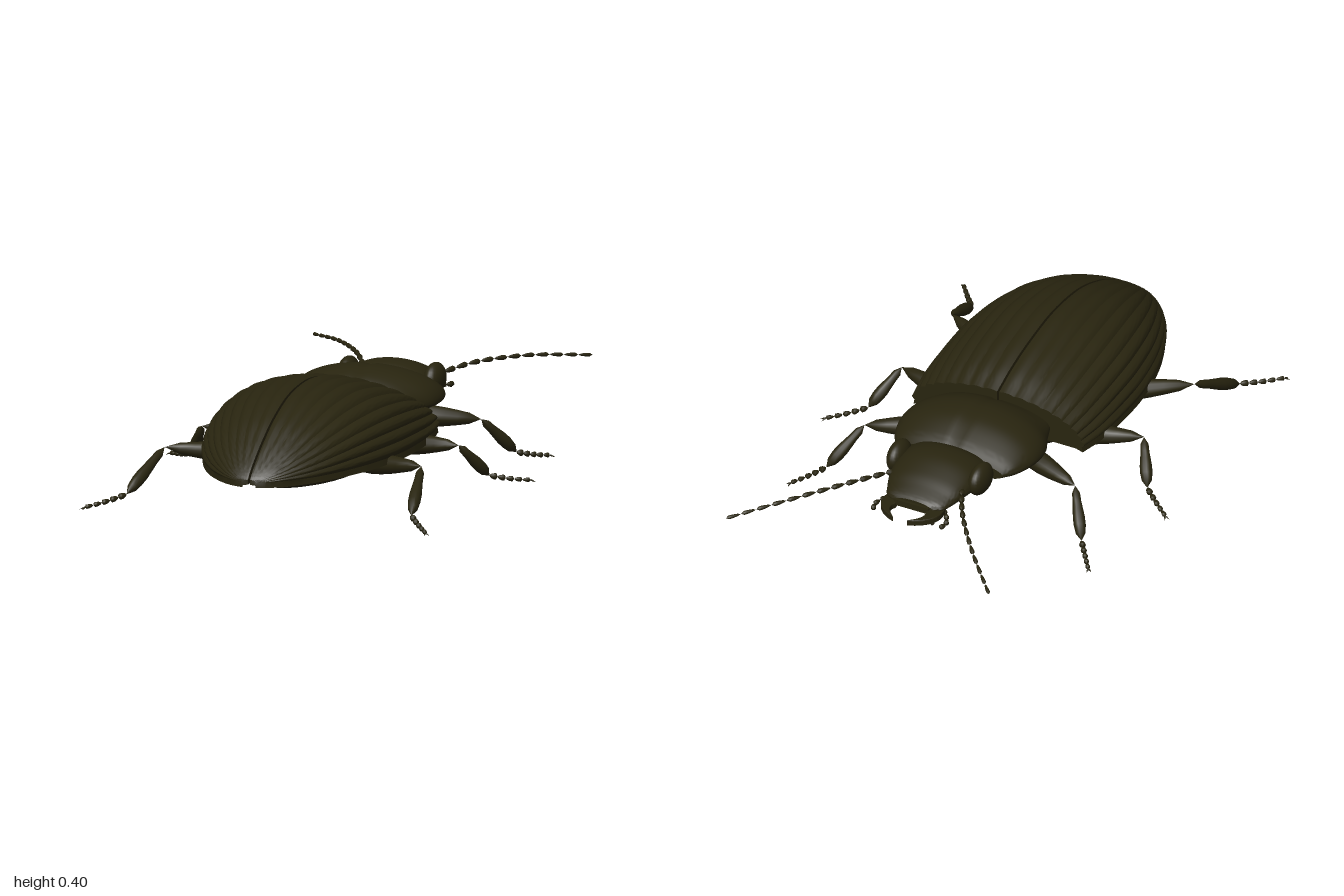
import * as THREE from 'three';
import { toCreasedNormals } from 'three/addons/utils/BufferGeometryUtils.js';

const shell = new THREE.MeshStandardMaterial({ color: 0x28240f });
shell.name = 'dark olive shell';

const V = (x, y, z) => new THREE.Vector3(x, y, z);

// Skin closed rings (counter-clockwise in x/y) along z; each key is [z, halfWidth, top, mid, bottom]
function loft(keys, rows, ringAt, crease = 0.6) {
  const upper = new THREE.CatmullRomCurve3(keys.map(k => V(k[1], k[2], k[3])), false, 'catmullrom');
  const lower = new THREE.CatmullRomCurve3(keys.map(k => V(k[0], k[4], 0)), false, 'catmullrom');
  const pos = [], idx = [];
  let n = 0;
  for (let i = 0; i <= rows; i++) {
    const a = upper.getPoint(i / rows), b = lower.getPoint(i / rows);
    const ring = ringAt(a.x, a.y, a.z, b.y);
    n = ring.length;
    ring.forEach(p => pos.push(p[0], p[1], b.x));
  }
  for (let i = 0; i < rows; i++) for (let j = 0; j < n; j++) {
    const a = i * n + j, b = i * n + (j + 1) % n;
    idx.push(a, b, a + n, b, b + n, a + n);
  }
  // end caps
  for (const [row, last] of [[0, false], [rows, true]]) {
    const c = V(0, 0, 0), centre = pos.length / 3;
    for (let j = 0; j < n; j++) c.add(V(...pos.slice((row * n + j) * 3, (row * n + j) * 3 + 3)));
    c.divideScalar(n);
    for (let j = 0; j < n; j++) {
      const a = row * n + j, b = row * n + (j + 1) % n;
      idx.push(centre, last ? a : b, last ? b : a);
    }
    pos.push(c.x, c.y, c.z);
  }
  const g = new THREE.BufferGeometry();
  g.setAttribute('position', new THREE.Float32BufferAttribute(pos, 3));
  g.setIndex(idx);
  return toCreasedNormals(g, crease);
}

// Oval ring, with an optional groove along the top
const oval = (groove = 0) => (w, top, mid, bottom) => Array.from({ length: 64 }, (_, j) => {
  const t = j / 64 * Math.PI * 2, s = Math.sin(t);
  const dip = j === 16 ? groove : 0;
  return [w * Math.cos(t), mid + s * (s > 0 ? top - mid : mid - bottom) - dip];
});

// Half-dome ring with rounded lengthwise ribs
const ribbed = side => (w, top, mid, bottom) => {
  const ring = [], steps = 72, gap = 0.004;
  for (let j = 0; j <= steps; j++) {
    const t = j / steps * Math.PI / 2;
    const k = 1 - 0.032 * (1 - Math.abs(Math.sin(18 * t)));
    ring.push([side * (gap + (w - gap) * Math.cos(t) * k), mid + (top - mid) * Math.sin(t) * k]);
  }
  ring.push([side * gap, bottom + 0.01], [side * w * 0.9, bottom + 0.008], [side * w * 0.98, bottom]);
  return side > 0 ? ring : ring.reverse();
};

// Turned rod from a to b with evenly spaced radii
function rod(a, b, radii, sides = 12) {
  const len = a.distanceTo(b);
  const g = new THREE.LatheGeometry(
    radii.map((r, i) => new THREE.Vector2(r, len * i / (radii.length - 1))), sides);
  g.applyQuaternion(new THREE.Quaternion().setFromUnitVectors(V(0, 1, 0), b.clone().sub(a).normalize()));
  return g.translate(a.x, a.y, a.z);
}

export function createModel() {
  const model = new THREE.Group();
  model.name = 'beetle';
  const add = (name, geo, parent = model) => {
    const m = new THREE.Mesh(geo, shell);
    m.name = name;
    parent.add(m);
    return m;
  };
  const ball = (name, x, y, z, sx, sy, sz, parent) =>
    add(name, new THREE.SphereGeometry(1, 24, 16).scale(sx, sy, sz).translate(x, y, z), parent);
  // Row of jointed segments along a curve
  const chain = (name, pts, count, r0, r1, parent) => {
    const curve = new THREE.CatmullRomCurve3(pts);
    for (let i = 0; i < count; i++) {
      const r = r0 + (r1 - r0) * i / count;
      add(name, rod(curve.getPointAt(i / count), curve.getPointAt((i + 1) / count),
        [0, r * 0.6, r * 0.85, r, r, 0], 8), parent);
    }
  };

  // Body sections
  add('abdomen', loft([
    [0.09, 0.25, 0.17, 0.16, 0.135], [0.25, 0.27, 0.2, 0.16, 0.1], [0.42, 0.28, 0.22, 0.16, 0.08],
    [0.6, 0.25, 0.2, 0.155, 0.072], [0.72, 0.19, 0.18, 0.15, 0.08], [0.78, 0.13, 0.17, 0.145, 0.092],
  ], 30, oval()));
  add('pronotum', loft([
    [-0.33, 0.2, 0.262, 0.225, 0.19], [-0.28, 0.236, 0.295, 0.225, 0.182], [-0.2, 0.26, 0.328, 0.225, 0.176],
    [-0.12, 0.255, 0.334, 0.222, 0.172], [-0.05, 0.225, 0.315, 0.22, 0.172], [0.01, 0.203, 0.28, 0.22, 0.175],
  ], 30, oval(0.006)));
  add('head', loft([
    [-0.6, 0.075, 0.225, 0.205, 0.188], [-0.585, 0.105, 0.235, 0.21, 0.185], [-0.55, 0.122, 0.253, 0.215, 0.182],
    [-0.5, 0.14, 0.277, 0.225, 0.18], [-0.42, 0.155, 0.302, 0.23, 0.178], [-0.35, 0.15, 0.298, 0.23, 0.18],
    [-0.3, 0.14, 0.27, 0.23, 0.185],
  ], 30, oval()));
  add('upperLip', new THREE.BoxGeometry(0.13, 0.022, 0.03).translate(0, 0.205, -0.595));
  add('waist', rod(V(0, 0.2, -0.05), V(0, 0.2, 0.045), [0, 0.04, 0.04, 0.04, 0]));

  const wingKeys = [
    [0.02, 0.328, 0.305, 0.175, 0.155], [0.12, 0.345, 0.345, 0.17, 0.15], [0.25, 0.353, 0.378, 0.168, 0.147],
    [0.42, 0.348, 0.4, 0.165, 0.145], [0.6, 0.314, 0.383, 0.163, 0.142], [0.75, 0.258, 0.33, 0.16, 0.14],
    [0.86, 0.195, 0.268, 0.157, 0.137], [0.94, 0.125, 0.212, 0.155, 0.135], [0.98, 0.07, 0.178, 0.153, 0.134],
    [0.995, 0.025, 0.16, 0.15, 0.133],
  ];

  // Each leg: coxa, knee, ankle, toe tip
  const legs = {
    frontLeg: [[0.1, 0.185, -0.08], [0.4, 0.165, -0.185], [0.485, 0.035, -0.3], [0.565, 0.01, -0.405]],
    middleLeg: [[0.13, 0.125, 0.12], [0.46, 0.155, 0.2], [0.53, 0.035, 0.09], [0.645, 0.01, 0]],
    hindLeg: [[0.1, 0.11, 0.38], [0.46, 0.155, 0.565], [0.51, 0.035, 0.8], [0.61, 0.01, 0.935]],
  };

  for (const [side, word] of [[1, 'left'], [-1, 'right']]) {
    const P = (x, y, z) => V(side * x, y, z);
    add(word + 'WingCase', loft(wingKeys, 54, ribbed(side)));
    ball(word + 'Eye', side * 0.155, 0.245, -0.402, 0.034, 0.055, 0.066);

    // Curved flat jaw
    const jaw = new THREE.Shape();
    jaw.moveTo(side * 0.06, -0.57);
    jaw.lineTo(side * 0.105, -0.57);
    jaw.bezierCurveTo(side * 0.115, -0.62, side * 0.1, -0.66, side * 0.03, -0.69);
    jaw.bezierCurveTo(side * 0.06, -0.665, side * 0.075, -0.64, side * 0.06, -0.615);
    jaw.closePath();
    add(word + 'Jaw', new THREE.ExtrudeGeometry(jaw, {
      depth: 0.014, bevelEnabled: true, bevelSize: 0.003, bevelThickness: 0.004, bevelSegments: 2, curveSegments: 10,
    }).rotateX(Math.PI / 2).translate(0, 0.203, 0));

    // Feelers
    chain(word + 'Palp', [P(0.09, 0.19, -0.55), P(0.125, 0.185, -0.59), P(0.137, 0.18, -0.62),
      P(0.125, 0.178, -0.645)], 4, 0.009, 0.009);
    chain(word + 'InnerPalp', [P(0.07, 0.185, -0.57), P(0.088, 0.175, -0.6), P(0.085, 0.172, -0.63)], 3, 0.007, 0.007);
    chain(word + 'Antenna', [P(0.12, 0.235, -0.47), P(0.15, 0.245, -0.53), P(0.21, 0.258, -0.64),
      P(0.34, 0.256, -0.82), P(0.5, 0.233, -1)], 12, 0.01, 0.006);

    for (const [name, pts] of Object.entries(legs)) {
      const leg = new THREE.Group();
      leg.name = word + name[0].toUpperCase() + name.slice(1);
      model.add(leg);
      const [hip, knee, ankle, tip] = pts.map(p => P(...p));
      ball('coxa', hip.x, hip.y, hip.z, 0.055, 0.035, 0.05, leg);
      add('thigh', rod(hip, knee, [0, 0.024, 0.031, 0.036, 0.036, 0.032, 0.026, 0.019, 0]), leg);
      add('shin', rod(knee, ankle, [0, 0.014, 0.015, 0.018, 0.021, 0.021, 0.017, 0]), leg);
      chain('footSegment', [ankle, ankle.clone().lerp(tip, 0.5).add(V(0, -0.003, 0)), tip], 5, 0.011, 0.007, leg);
      // Paired claws
      const dir = tip.clone().sub(ankle).setY(0).normalize();
      for (const turn of [-0.5, 0.5]) {
        const end = tip.clone().addScaledVector(dir.clone().applyAxisAngle(V(0, 1, 0), turn), 0.018);
        add('claw', rod(tip, end.setY(0.003), [0.003, 0.0025, 0], 6), leg);
      }
    }
  }
  return model;
}
